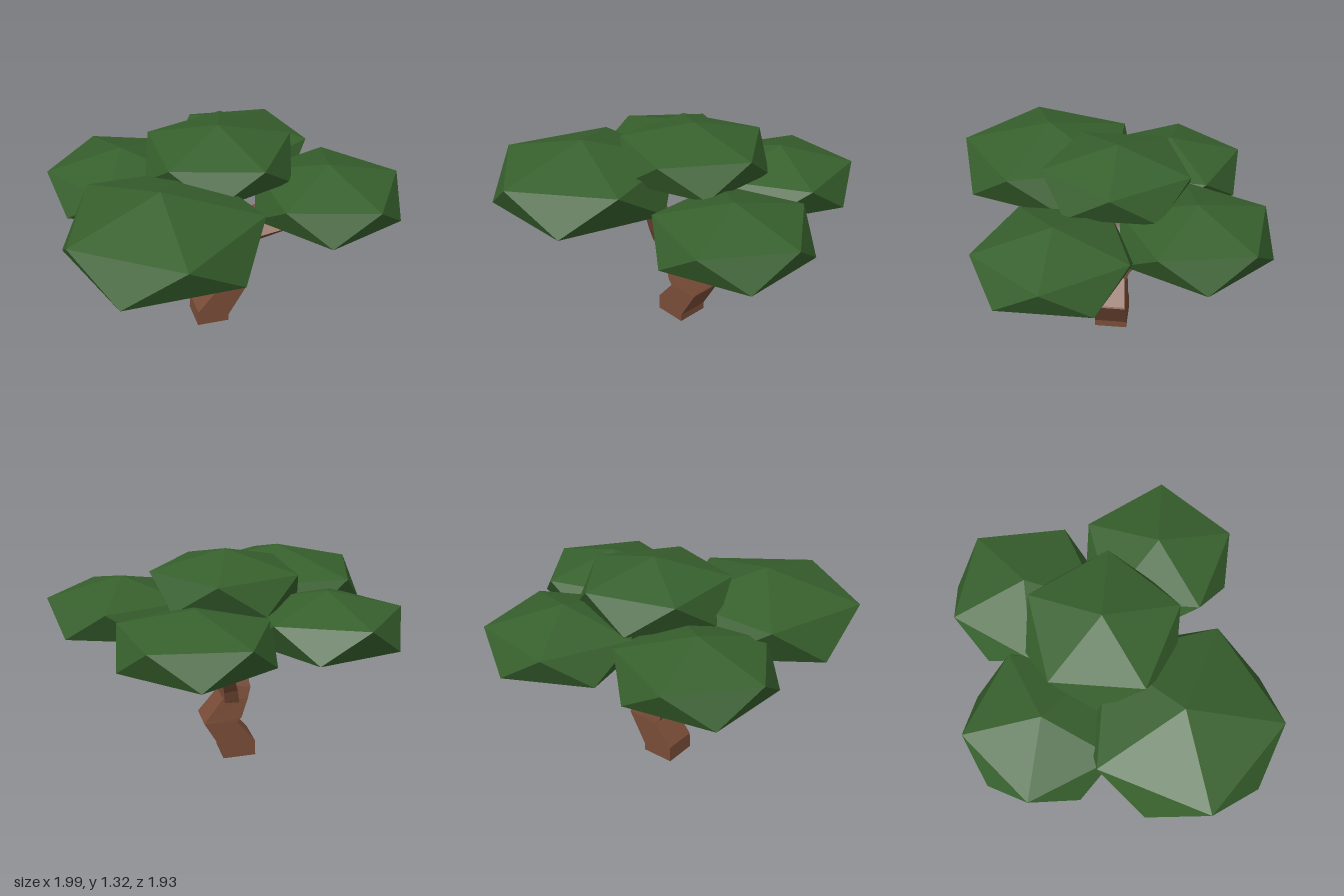
import * as THREE from 'three';

const bark = new THREE.MeshStandardMaterial({ color: 0x7a4d38, flatShading: true });
const leaf = new THREE.MeshStandardMaterial({ color: 0x37602d, flatShading: true });
const V = (x, y, z) => new THREE.Vector3(x, y, z);

// Faceted skin over a stack of four-cornered rings, capped at both ends
function loft(rings) {
  const pos = [];
  const quad = (a, b, c, d) => [a, b, c, a, c, d].forEach(p => pos.push(p.x, p.y, p.z));
  for (let k = 0; k < rings.length - 1; k++) {
    for (let i = 0; i < 4; i++) {
      const j = (i + 1) % 4;
      quad(rings[k][i], rings[k][j], rings[k + 1][j], rings[k + 1][i]);
    }
  }
  quad(...[...rings[0]].reverse());
  quad(...rings[rings.length - 1]);
  const g = new THREE.BufferGeometry();
  g.setAttribute('position', new THREE.Float32BufferAttribute(pos, 3));
  g.computeVertexNormals();
  return g;
}

// Tapered square limb along [x, y, z, halfWidth] stations
function limb(stations) {
  const pts = stations.map(s => V(s[0], s[1], s[2]));
  return loft(pts.map((p, i) => {
    const dir = pts[Math.min(i + 1, pts.length - 1)].clone().sub(pts[Math.max(i - 1, 0)]).normalize();
    const u = V(1, 0, 0).addScaledVector(dir, -dir.x).normalize();
    const v = u.clone().cross(dir);
    const h = stations[i][3];
    return [[-1, 1], [1, 1], [1, -1], [-1, -1]].map(([a, b]) =>
      p.clone().addScaledVector(u, a * h).addScaledVector(v, b * h));
  }));
}

// Flattened icosahedron standing on a vertex; angle aims one upper-ring corner
function clump(x, y, z, radius, height, angle) {
  const g = new THREE.IcosahedronGeometry(1, 0);
  g.rotateZ(Math.atan(2 / (1 + Math.sqrt(5))));
  g.rotateY(Math.PI - THREE.MathUtils.degToRad(angle));
  g.scale(radius, height, radius);
  g.translate(x, y, z);
  return g;
}

export function createModel() {
  const tree = new THREE.Group();
  tree.name = 'tree';
  const add = (name, geometry, material) => {
    const mesh = new THREE.Mesh(geometry, material);
    mesh.name = name;
    tree.add(mesh);
  };

  // Crooked trunk: left x, left y, right x, right y, front z, back z
  const sections = [
    [-0.205, 0.005, 0, 0, 0.08, -0.125],
    [-0.2, 0.105, 0, 0.045, 0.08, -0.125],
    [-0.085, 0.24, 0.12, 0.247, 0.08, -0.125],
    [-0.115, 0.275, 0.115, 0.256, 0.078, -0.123],
    [-0.155, 0.39, 0, 0.4, 0.065, -0.11],
    [-0.175, 0.46, 0.0, 0.48, 0.068, -0.095],
    [-0.16, 0.53, -0.06, 0.53, 0.06, -0.07],
  ];
  add('trunk', loft(sections.map(([lx, ly, rx, ry, f, b]) =>
    [V(lx, ly, f), V(rx, ry, f), V(rx, ry, b), V(lx, ly, b)])), bark);

  // Branches
  const branches = {
    leftBranch: [[-0.11, 0.46, 0.0, 0.055], [-0.16, 0.59, 0.03, 0.045], [-0.32, 0.7, -0.03, 0.034], [-0.39, 0.8, -0.11, 0.018]],
    frontBranch: [[-0.12, 0.44, 0.01, 0.06], [-0.15, 0.57, 0.08, 0.05], [-0.13, 0.67, 0.15, 0.036], [-0.1, 0.85, 0.25, 0.018]],
    rightBranch: [[-0.08, 0.45, -0.03, 0.06], [0.0, 0.54, 0.0, 0.055], [0.17, 0.66, 0.1, 0.042], [0.37, 0.77, 0.24, 0.018]],
    rightFork: [[0.14, 0.63, 0.08, 0.035], [0.18, 0.72, 0.1, 0.028], [0.16, 0.85, 0.11, 0.018]],
    backBranch: [[-0.06, 0.36, -0.06, 0.045], [-0.04, 0.48, -0.11, 0.042], [0.0, 0.6, -0.21, 0.03], [0.07, 0.8, -0.39, 0.015]],
  };
  for (const [name, stations] of Object.entries(branches)) add(name, limb(stations), bark);

  // Foliage
  const clumps = {
    frontLeftFoliage: [-0.475, 0.968, 0.415, 0.612, 0.251, 90],
    topFoliage: [-0.022, 1.12, -0.058, 0.495, 0.202, 0],
    rightFoliage: [0.555, 0.918, 0.225, 0.495, 0.202, 0],
    backRightFoliage: [0.245, 0.918, -0.525, 0.495, 0.202, 25.5],
    backLeftFoliage: [-0.545, 0.918, -0.345, 0.495, 0.202, -31.5],
  };
  for (const [name, c] of Object.entries(clumps)) add(name, clump(...c), leaf);

  return tree;
}
